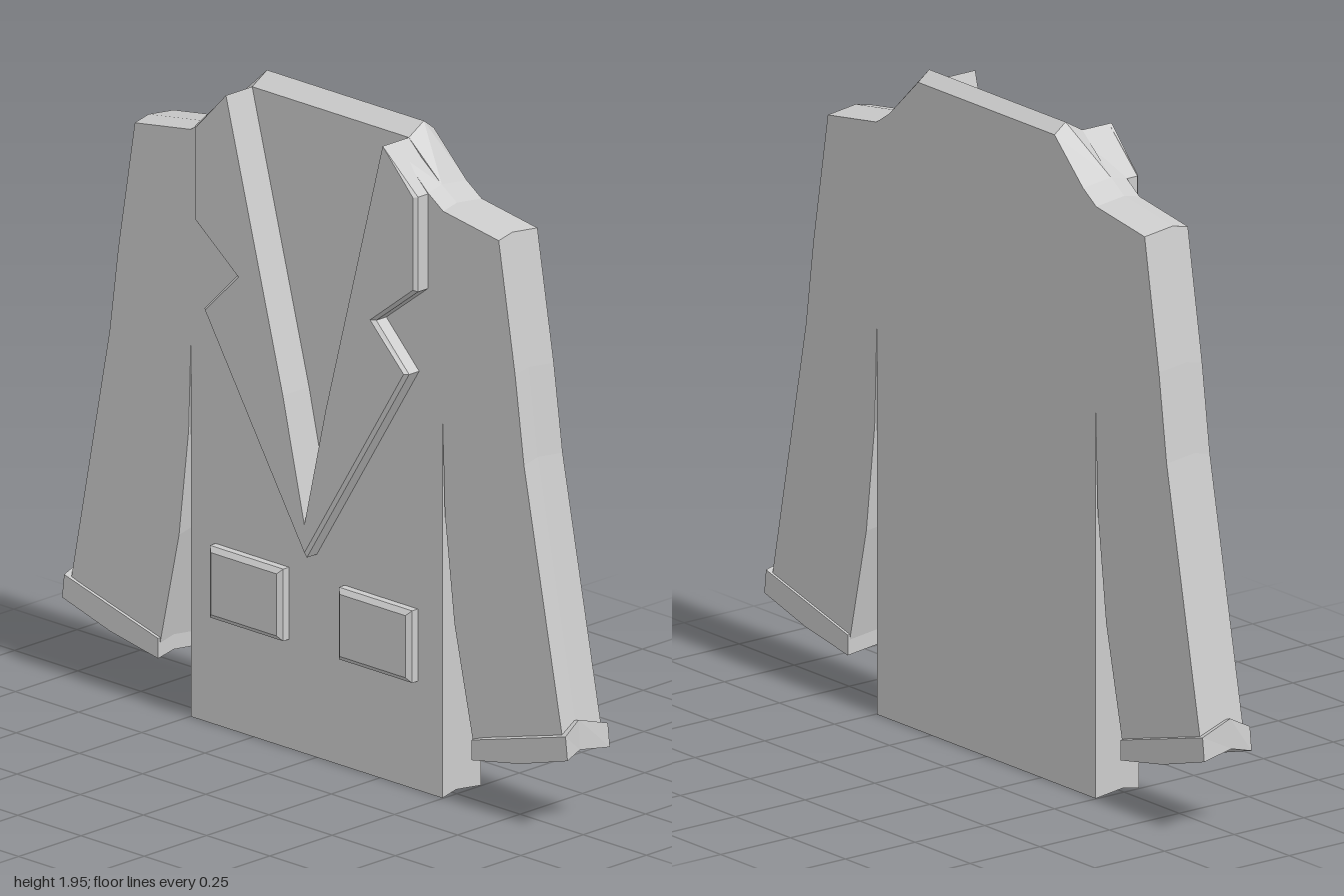
import * as THREE from 'three';

const cloth = new THREE.MeshStandardMaterial({ color: 0xcccccc });
cloth.name = 'grey cloth';

// Give 2D points a depth, with an optional lift
const at = (pts, z, lift = 0) => pts.map(([x, y]) => [x, y + lift, z]);

// Mirror points in x, keeping them counter-clockwise
const flip = pts => pts.map(([x, ...rest]) => [-x, ...rest]).reverse();

// Complete a symmetrical outline from its +x half
const whole = half => [...half, ...flip(half.filter(p => p[0] !== 0))];

// Faceted solid through matching rings, ordered from back to front
function loft(name, rings) {
  const pos = [];
  const tri = (a, b, c) => pos.push(...a, ...b, ...c);
  for (let r = 0; r + 1 < rings.length; r++) {
    const lo = rings[r], hi = rings[r + 1];
    lo.forEach((a, i) => {
      const j = (i + 1) % lo.length;
      tri(a, lo[j], hi[j]);
      tri(a, hi[j], hi[i]);
    });
  }
  const cap = (ring, back) => {
    const flat = ring.map(p => new THREE.Vector2(p[0], p[1]));
    for (const [a, b, c] of THREE.ShapeUtils.triangulateShape(flat, [])) {
      if (back) tri(ring[a], ring[c], ring[b]);
      else tri(ring[a], ring[b], ring[c]);
    }
  };
  cap(rings[0], true);
  cap(rings[rings.length - 1], false);
  const geo = new THREE.BufferGeometry();
  geo.setAttribute('position', new THREE.Float32BufferAttribute(pos, 3));
  geo.computeVertexNormals();
  const mesh = new THREE.Mesh(geo, cloth);
  mesh.name = name;
  return mesh;
}

export function createModel() {
  const jacket = new THREE.Group();
  jacket.name = 'jacket';
  const BACK = -0.1, FRONT = 0.055, LIFT = 0.012;

  // Hem, side slit, sleeve and shoulder
  const side = [
    [0.497, 0], [0.497, 1.16], [0.507, 0.85], [0.545, 0.53], [0.62, 0.19],
    [0.975, 0.28], [0.82, 1.07], [0.785, 1.33], [0.72, 1.716], [0.5, 1.75], [0.44, 1.79],
  ];

  // Back half, its seam raised and the neck forming a ridge
  jacket.add(loft('backPanel', [
    whole([...at(side, BACK), [0.31, 1.915, BACK]]),
    whole([...at(side, 0, LIFT), [0.31, 1.945, -0.06]]),
    whole([...at(side, 0, LIFT), [0.31, 1.91, 0]]),
  ]));

  // Front half with the open neckline
  const neck = [[0.35, 1.87], [0.305, 1.87], [0.094, 1.07], [0, 0.69]];
  jacket.add(loft('frontPanel', [
    whole([...at(side, 0, LIFT), ...at(neck, 0)]),
    whole([...at(side, FRONT), ...at(neck, FRONT)]),
  ]));

  // Notched lapels with a narrow bevel on the outer edge
  const inner = [[0.31, 1.91], [0.085, 1.07], [0, 0.705]];
  const outer = [[0, 0.605], [0.405, 1.25], [0.275, 1.38], [0.44, 1.505], [0.44, 1.787]];
  const bevel = [[0, 0.622], [0.393, 1.25], [0.26, 1.38], [0.43, 1.51], [0.43, 1.785]];
  const lapel = (edge, z) => {
    const half = at([...edge, ...inner], z);
    return [...half, ...flip(half.slice(1, -1))];
  };
  jacket.add(loft('lapels', [lapel(outer, 0), lapel(outer, 0.095), lapel(bevel, 0.105)]));

  // Cuffs and pockets, mirrored
  const cuff = [[0.62, 0.145], [0.81, 0.18], [1, 0.235], [0.992, 0.305], [0.62, 0.205]];
  const cuffRidge = [[0.62, 0.157], [0.81, 0.192], [0.987, 0.25], [0.982, 0.338], [0.62, 0.217]];
  const cuffRings = [at(cuff, -0.107), at(cuffRidge, 0), at(cuff, 0.063)];
  const rect = (inset, z) => at([
    [0.11 + inset, 0.325 + inset], [0.4 - inset, 0.325 + inset],
    [0.4 - inset, 0.54 - inset], [0.11 + inset, 0.54 - inset],
  ], z);
  const pocketRings = [rect(0, 0.04), rect(0, 0.078), rect(0.015, 0.09)];
  for (const [name, rings] of [['Cuff', cuffRings], ['Pocket', pocketRings]]) {
    jacket.add(loft('left' + name, rings), loft('right' + name, rings.map(flip)));
  }
  return jacket;
}
